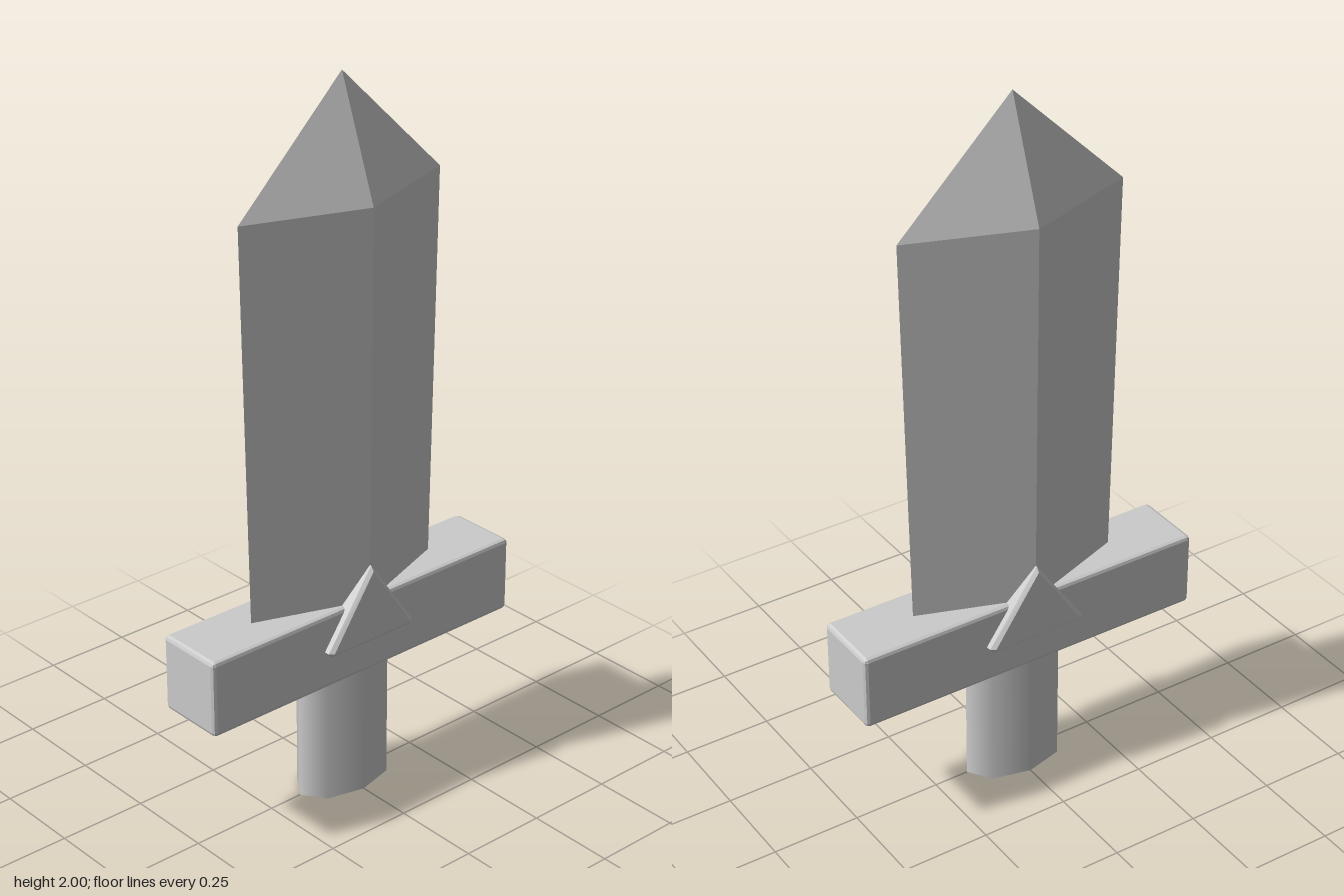
import * as THREE from 'three';
import { RoundedBoxGeometry } from 'three/addons/geometries/RoundedBoxGeometry.js';

export function createModel() {
  const model = new THREE.Group();
  model.name = 'sword';
  const smooth = new THREE.MeshStandardMaterial({ color: 0xcccccc });
  const flat = new THREE.MeshStandardMaterial({ color: 0xcccccc, flatShading: true });

  const add = (name, geometry, material, y = 0) => {
    const mesh = new THREE.Mesh(geometry, material);
    mesh.name = name;
    mesh.position.y = y;
    model.add(mesh);
    return mesh;
  };

  // Blade: four-sided diamond section, slightly flared, with a pyramid tip
  const bladeProfile = [[0, 0.5], [0.308, 0.5], [0.33, 1.68], [0, 2]]
    .map(([r, y]) => new THREE.Vector2(r, y));
  const blade = new THREE.LatheGeometry(bladeProfile, 4);
  blade.scale(1, 1, 0.117 / 0.33);
  add('blade', blade, flat);

  // Crossguard: bar with narrow chamfers
  add('crossguard', new RoundedBoxGeometry(1.03, 0.216, 0.2, 1, 0.011), flat, 0.482);

  // Emblem: chamfered triangular prism passing through the guard
  const triangle = new THREE.Shape([
    [-0.136, 0.473], [0.136, 0.473], [0.146, 0.485], [0, 0.695], [-0.146, 0.485],
  ].map(([x, y]) => new THREE.Vector2(x, y)));
  const bevel = 0.01;
  const emblem = new THREE.ExtrudeGeometry(triangle, {
    depth: 0.25 - 2 * bevel,
    bevelThickness: bevel,
    bevelSize: bevel,
    bevelOffset: -bevel,
    bevelSegments: 1,
  });
  emblem.translate(0, 0, -0.125 + bevel);
  add('triangleEmblem', emblem, flat);

  // Grip: flattened eight-sided cylinder with smooth sides
  const grip = new THREE.CylinderGeometry(0.15, 0.15, 0.4, 8);
  grip.scale(1, 1, 0.6);
  add('grip', grip, smooth, 0.2);

  return model;
}
